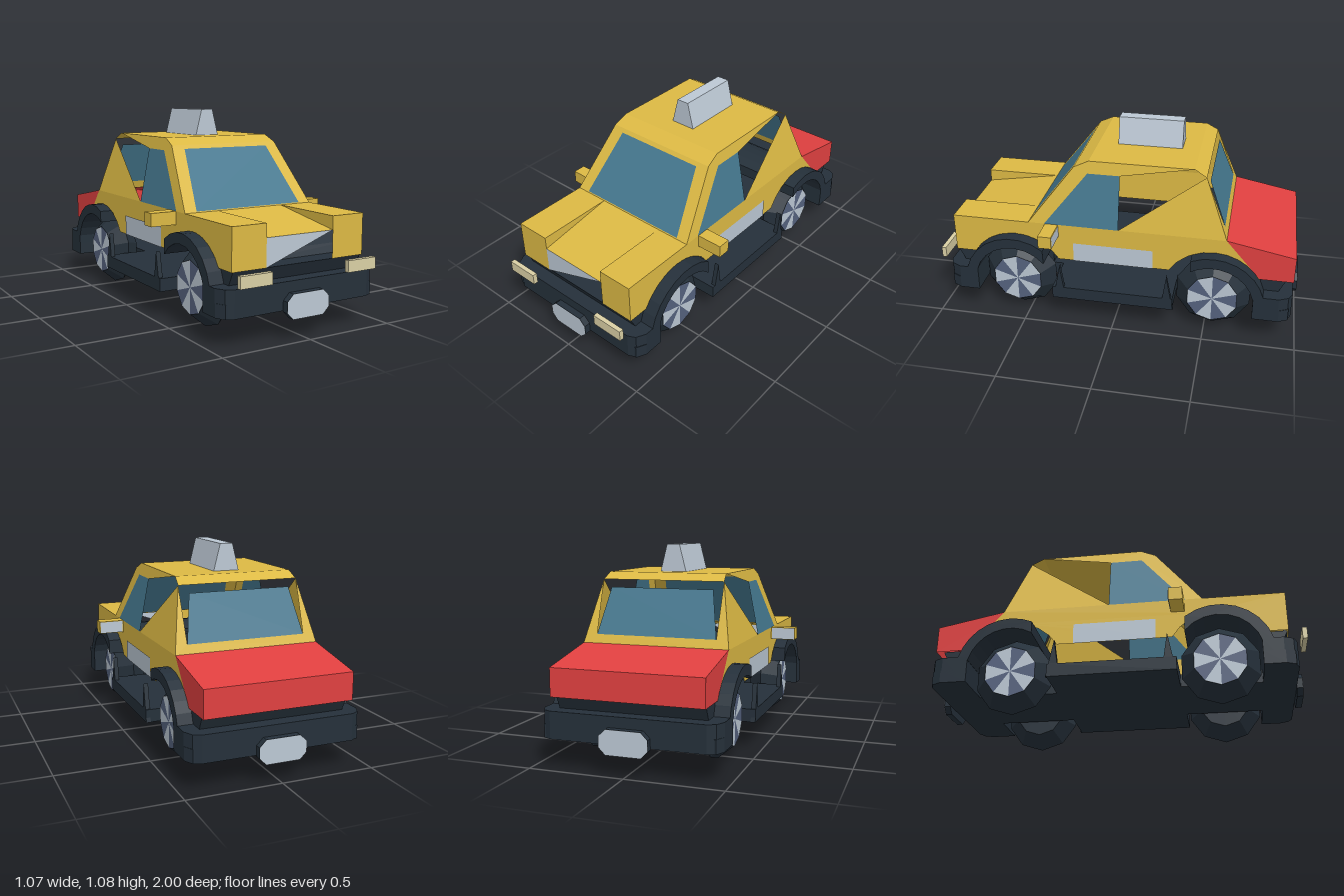
import * as THREE from 'three';

const paint = (name, color) => {
  const m = new THREE.MeshStandardMaterial({ color, side: THREE.DoubleSide, flatShading: true });
  m.name = name;
  return m;
};

export function createModel() {
  const car = new THREE.Group();
  car.name = 'taxi';
  const yellow = paint('yellow paint', 0xdcb944);
  const red = paint('red paint', 0xe04040);
  const glass = paint('blue glass', 0x45788f);
  const dark = paint('dark trim', 0x25303a);
  const silver = paint('light grey', 0xbcc8d4);
  const slate = paint('slate hub', 0x55627e);
  const cream = paint('cream lamp', 0xdad0a5);

  const add = (name, geo, mat) => {
    const mesh = new THREE.Mesh(geo, mat);
    mesh.name = name;
    car.add(mesh);
    return mesh;
  };
  const shapeOf = (pts) => new THREE.Shape(pts.map(([a, b]) => new THREE.Vector2(a, b)));
  const box = (name, x0, x1, y0, y1, z0, z1, mat) =>
    add(name, new THREE.BoxGeometry(x1 - x0, y1 - y0, z1 - z0)
      .translate((x0 + x1) / 2, (y0 + y1) / 2, (z0 + z1) / 2), mat);

  // Flat panel: a 2D outline carried into space by a mapping rule
  const panel = (name, pts, map, mat, hole) => {
    const shape = shapeOf(pts);
    if (hole) shape.holes.push(shapeOf(hole));
    const geo = new THREE.ShapeGeometry(shape).toNonIndexed();
    const p = geo.attributes.position;
    for (let i = 0; i < p.count; i++) p.setXYZ(i, ...map(p.getX(i), p.getY(i)));
    geo.computeVertexNormals();
    return add(name, geo, mat);
  };
  // Side profile (z, y) extruded across x
  const across = (name, pts, x0, x1, mat) =>
    add(name, new THREE.ExtrudeGeometry(shapeOf(pts), { depth: x1 - x0, bevelEnabled: false })
      .rotateY(-Math.PI / 2).translate(x1, 0, 0), mat);
  // Plan outline (x, z) extruded upward
  const upward = (name, pts, y0, y1, mat) =>
    add(name, new THREE.ExtrudeGeometry(shapeOf(pts.map(([x, z]) => [x, -z])), { depth: y1 - y0, bevelEnabled: false })
      .rotateX(-Math.PI / 2).translate(0, y0, 0), mat);
  const mirrored = (half) => [...half, ...half.map(([x, z]) => [-x, z]).reverse()];
  const arc = (cz, r, from, to, n = 8) => Array.from({ length: n + 1 }, (_, i) => {
    const a = THREE.MathUtils.degToRad(from + (to - from) * i / n);
    return [cz + r * Math.cos(a), 0.215 + r * Math.sin(a)];
  });

  const FRONT = 0.557, REAR = -0.54, W = 0.395, SILL = 0.465;
  const cabinX = (y) => W - Math.max(0, y - 0.575) * 0.194;

  // Chassis floor with wheel notches
  upward('floor', mirrored([
    [0.44, 0.93], [SILL, 0.88], [SILL, 0.77], [0.22, 0.77], [0.22, 0.34], [SILL, 0.34],
    [SILL, -0.33], [0.22, -0.33], [0.22, -0.76], [SILL, -0.76], [SILL, -0.9], [0.44, -0.95],
  ]), 0.15, 0.22, dark);

  // Bumpers, under-body ends and octagonal plates
  for (const [s, end, inner] of [[1, 0.945, 0.77], [-1, 0.965, 0.76]]) {
    const tag = s > 0 ? 'front' : 'rear';
    upward(tag + 'Bumper', mirrored([
      [0.4, s * end], [0.44, s * (end - 0.02)], [SILL, s * (end - 0.07)], [SILL, s * inner],
    ]), 0.15, 0.29, dark);
    across(tag + 'Apron', [
      [s * (end - 0.08), 0.28], [s * (end - 0.04), 0.36], [s * 0.79, 0.36], [s * 0.79, 0.28],
    ], -0.385, 0.385, dark);
    const oct = [[-0.125, 0.145], [-0.09, 0.11], [0.09, 0.11], [0.125, 0.145],
      [0.125, 0.2], [0.09, 0.235], [-0.09, 0.235], [-0.125, 0.2]];
    add(tag + 'PlateMount', new THREE.ExtrudeGeometry(shapeOf(oct), { depth: 0.034, bevelEnabled: false })
      .translate(0, 0, s > 0 ? end : -end - 0.034), dark);
    panel(tag + 'Plate', oct, (x, y) => [x, y, s * (end + 0.036)], silver);
  }

  // Wheel arches
  across('frontArch', [...arc(FRONT, 0.282, 14, 127), ...arc(FRONT, 0.225, 140, 14)], -SILL, SILL, dark);
  across('rearArch', [...arc(REAR, 0.282, 65, 166), ...arc(REAR, 0.225, 166, 58)], -SILL, SILL, dark);
  box('engineBlock', -0.21, 0.21, 0.2, 0.47, 0.4, 0.72, dark);

  // Wheels: faceted tyre with wedge-painted hub
  for (const s of [1, -1]) for (const z of [FRONT, REAR]) {
    const tyre = new THREE.LatheGeometry([
      new THREE.Vector2(0, -0.086), new THREE.Vector2(0.14, -0.086), new THREE.Vector2(0.212, 0),
      new THREE.Vector2(0.14, 0.086), new THREE.Vector2(0, 0.086),
    ], 10).rotateZ(Math.PI / 2).rotateX(Math.PI / 2);
    add('tyre', tyre, dark).position.set(s * 0.323, 0.215, z);
    const hub = new THREE.CircleGeometry(0.14, 10).rotateZ(Math.PI / 2).rotateY(s * Math.PI / 2);
    for (let i = 0; i < 10; i++) hub.addGroup(i * 3, 3, i % 2);
    add('hub', hub, [silver, slate]).position.set(s * 0.412, 0.215, z);
  }

  for (const s of [1, -1]) {
    const side = (z, y) => [s * cabinX(y), y, z];
    // Lower body side with arch cut-outs
    panel('bodySide', [
      [0.91, 0.36], [0.91, 0.575], [-0.6, 0.575], [-0.785, 0.36],
      ...arc(REAR, 0.282, 149, 31), ...arc(FRONT, 0.282, 149, 31),
    ], side, yellow);
    panel('sideStripe', [[0.23, 0.36], [0.23, 0.47], [-0.21, 0.47], [-0.21, 0.36]],
      (z, y) => [s * (W + 0.004), y, z], silver);
    // Windscreen pillar, roof rail, side window and rear pillar
    panel('roofRail', [[0.48, 0.575], [0.23, 0.9], [0.15, 0.937], [-0.41, 0.937],
      [-0.02, 0.87], [0.155, 0.87], [0.39, 0.575]], side, yellow);
    panel('sideWindow', [[0.39, 0.575], [0.155, 0.87], [-0.02, 0.87], [-0.02, 0.575]], side, glass);
    panel('rearPillar', [[-0.02, 0.575], [-0.475, 0.9], [-0.6, 0.575]], side, yellow);
    // Sill spurs
    for (const k of [1, -1]) {
      across('sillSpur', [[k * 0.335, 0.15], [k * 0.295, 0.355], [k * 0.275, 0.22]],
        s > 0 ? 0.44 : -SILL, s > 0 ? SILL : -0.44, dark);
    }
    // Front wing: nose face, top and inner wall
    panel('wingNose', [[0.2, 0.36], [W, 0.36], [W, 0.575], [0.2, 0.575]], (x, y) => [s * x, y, 0.91], yellow);
    panel('wingTop', [[0.2, 0.48], [W, 0.48], [W, 0.91], [0.2, 0.91]], (x, z) => [s * x, 0.575, z], yellow);
    panel('wingInner', [[0.48, 0.575], [0.91, 0.575], [0.91, 0.505]], (z, y) => [s * 0.2, y, z], yellow);
    // Mirrors and headlights
    const [m0, m1] = s > 0 ? [0.385, 0.537] : [-0.537, -0.385];
    box('mirror', m0, m1, 0.505, 0.575, 0.313, 0.385, yellow);
    panel('mirrorGlass', [[0.4, 0.508], [0.534, 0.508], [0.534, 0.572], [0.4, 0.572]],
      (x, y) => [s * x, y, 0.31], silver);
    const [h0, h1] = s > 0 ? [0.227, 0.406] : [-0.406, -0.227];
    box('headlight', h0, h1, 0.303, 0.363, 0.975, 1, cream);
    // Trunk side
    panel('trunkSide', [[-0.6, 0.575], [-0.965, 0.505], [-0.965, 0.36], [-0.785, 0.36]], side, red);
  }

  // Sunken bonnet and half grille
  panel('bonnet', [[-0.2, 0.48], [0.2, 0.48], [0.2, 0.91], [-0.2, 0.91]],
    (x, z) => [x, 0.575 - 0.07 * (z - 0.48) / 0.43, z], yellow);
  panel('grille', [[-0.2, 0.36], [0.2, 0.505], [-0.2, 0.505]], (x, y) => [x, y, 0.91], silver);

  // Windscreen
  const screen = (x, y) => [x, y, 0.48 - (y - 0.575) * 0.25 / 0.325];
  const pane = [[-0.325, 0.58], [0.325, 0.58], [0.263, 0.88], [-0.263, 0.88]];
  panel('windscreenFrame', [[-W, 0.575], [W, 0.575], [cabinX(0.9), 0.9], [-cabinX(0.9), 0.9]], screen, yellow, pane);
  panel('windscreen', pane, screen, glass);

  // Roof: front slope, top and rear slope
  const roofLine = [[0.23, 0.9], [0.15, 0.937], [-0.41, 0.937], [-0.475, 0.9]];
  for (let i = 0; i < 3; i++) {
    const [[z0, y0], [z1, y1]] = [roofLine[i], roofLine[i + 1]];
    panel('roof', [[-1, 0], [1, 0], [1, 1], [-1, 1]], (u, t) => {
      const y = y0 + (y1 - y0) * t;
      return [u * cabinX(y), y, z0 + (z1 - z0) * t];
    }, yellow);
  }

  // Rear window with open upper frame
  const back = (x, y) => [x, y, -0.6 + (y - 0.575) * 0.125 / 0.325];
  panel('rearWindow', [[-0.325, 0.62], [0.325, 0.62], [0.28, 0.86], [-0.28, 0.86]], back, glass);
  panel('rearWindowFrame', [[-W, 0.575], [W, 0.575], [cabinX(0.9), 0.9], [0.325, 0.62],
    [-0.325, 0.62], [-cabinX(0.9), 0.9]], back, yellow);

  // Trunk lid and tail
  panel('trunkLid', [[-W, -0.6], [W, -0.6], [W, -0.965], [-W, -0.965]],
    (x, z) => [x, 0.575 + (z + 0.6) * 0.07 / 0.365, z], red);
  panel('tail', [[-W, 0.36], [W, 0.36], [W, 0.505], [-W, 0.505]], (x, y) => [x, y, -0.965], red);

  // Roof sign
  add('roofSign', new THREE.ExtrudeGeometry(
    shapeOf([[-0.072, 0.937], [0.072, 0.937], [0.035, 1.082], [-0.035, 1.082]]),
    { depth: 0.355, bevelEnabled: false }).translate(0, 0, -0.315), silver);

  return car;
}
